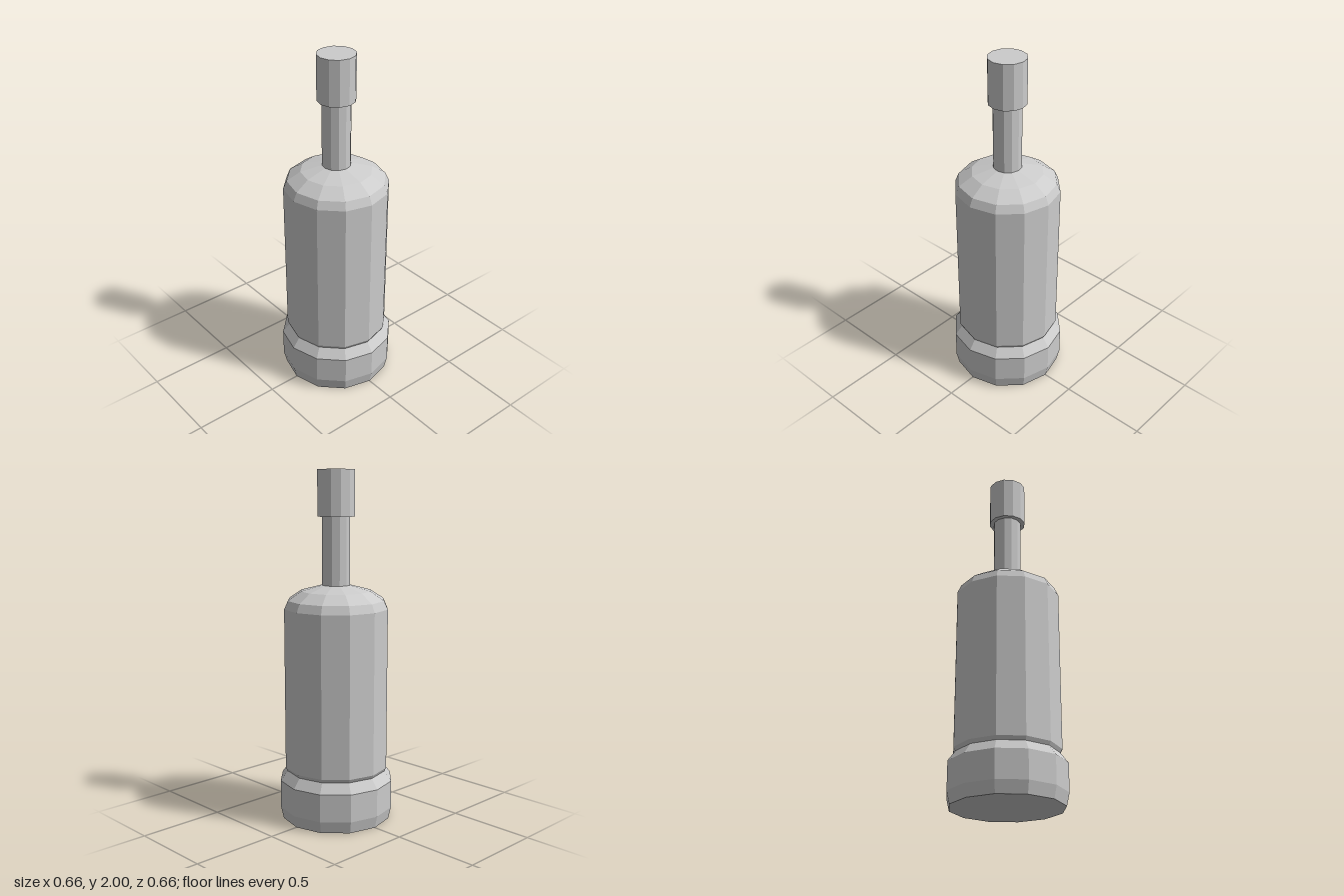
import * as THREE from 'three';

const SIDES = 12;

export function createModel() {
  const group = new THREE.Group();
  const material = new THREE.MeshStandardMaterial({ color: 0xcccccc, flatShading: true });

  // Turns a closed [radius, height] profile, listed bottom to top, into a faceted part
  function addTurned(name, profile) {
    const points = profile.map(([r, y]) => new THREE.Vector2(r, y));
    const mesh = new THREE.Mesh(new THREE.LatheGeometry(points, SIDES), material);
    mesh.name = name;
    group.add(mesh);
  }

  // Wide foot with tapered bottom and bevelled top
  addTurned('base', [[0, 0], [0.315, 0], [0.331, 0.07], [0.331, 0.23], [0.288, 0.287], [0, 0.287]]);

  // Body with a slightly pinched bottom and rounded shoulder
  addTurned('body', [
    [0, 0.285], [0.288, 0.285], [0.3, 0.307], [0.3, 1.23],
    [0.279, 1.277], [0.202, 1.328], [0.08, 1.36], [0, 1.36],
  ]);

  // Slim neck
  addTurned('neck', [[0.081, 1.355], [0.081, 1.745]]);

  // Cap
  addTurned('cap', [[0, 1.742], [0.107, 1.742], [0.107, 2], [0, 2]]);

  return group;
}
